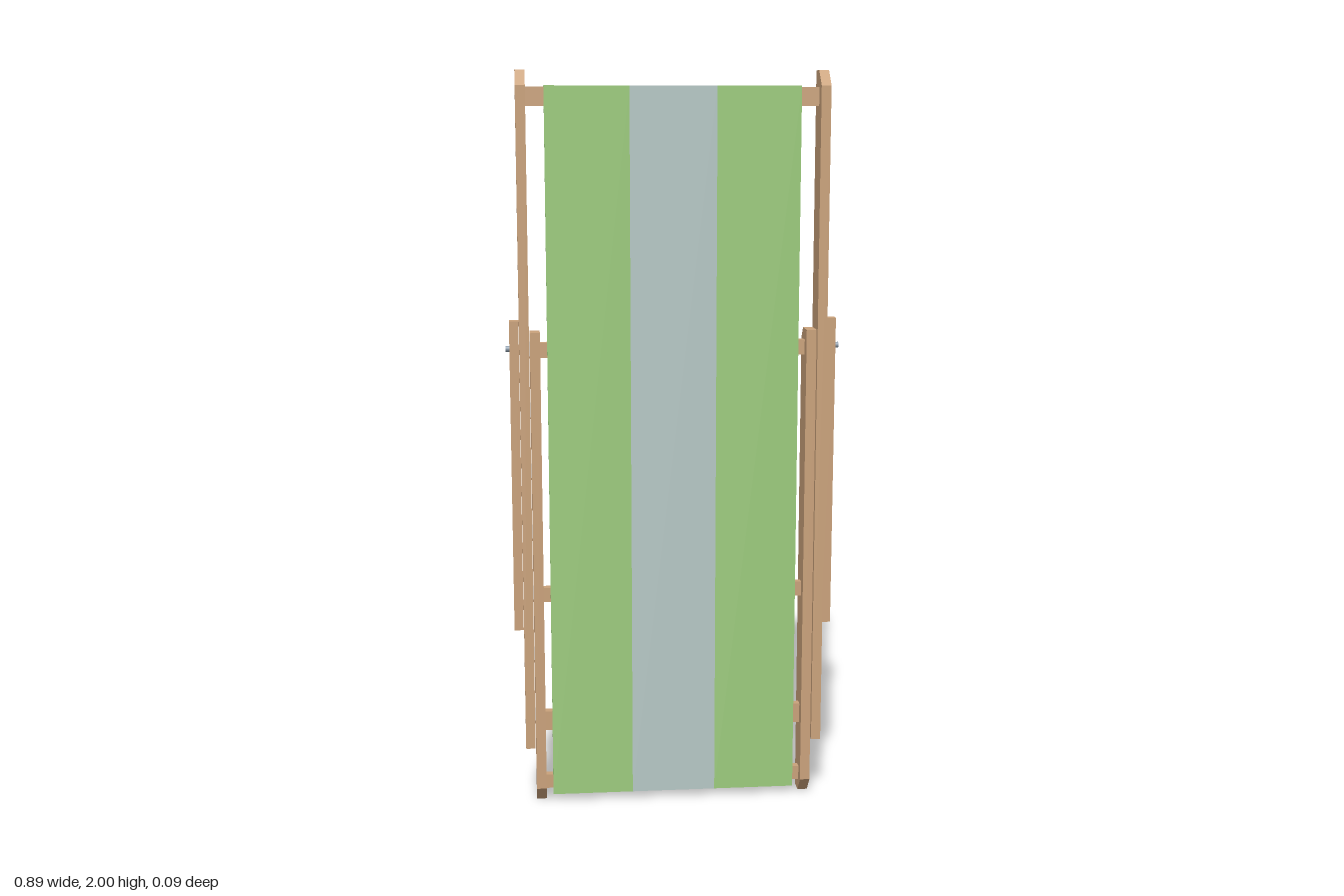
import * as THREE from 'three';

const material = (name, color) => {
  const m = new THREE.MeshStandardMaterial({ color });
  m.name = name;
  return m;
};

// Extrudes a side profile of [z, y] points from x0 to x1
function sideExtrude(points, x0, x1) {
  const shape = new THREE.Shape(points.map(([z, y]) => new THREE.Vector2(z, y)));
  const geo = new THREE.ExtrudeGeometry(shape, { depth: x1 - x0, bevelEnabled: false });
  return geo.rotateY(-Math.PI / 2).translate(x1, 0, 0);
}

export function createModel() {
  const group = new THREE.Group();
  group.name = 'foldedDeckChair';
  const wood = material('wood', 0xcaa27b);
  const green = material('greenCanvas', 0x9ccb7d);
  const grey = material('greyCanvas', 0xb6c7c5);
  const steel = material('steel', 0x8c9cab);

  const add = (name, geo, mat) => {
    const mesh = new THREE.Mesh(geo, mat);
    mesh.name = name;
    group.add(mesh);
    return mesh;
  };

  // Rails with one chamfered corner at each end
  const outerRail = [[-0.04, 0.2], [-0.003, 0.165], [0.043, 0.165], [0.043, 1.96], [0.002, 2], [-0.04, 2]];
  const innerRail = [[-0.044, 0], [0, 0], [0.039, 0.045], [0.039, 1.32], [-0.02, 1.32], [-0.044, 1.29]];
  // Slightly tilted support strip
  const strip = [[-0.012, 0.5], [0.021, 0.5], [0.026, 1.35], [-0.007, 1.35]];

  for (const s of [1, -1]) {
    const side = s > 0 ? 'left' : 'right';
    const rail = (name, profile, a, b) =>
      add(side + name, sideExtrude(profile, Math.min(a * s, b * s), Math.max(a * s, b * s)), wood);
    rail('OuterRail', outerRail, 0.385, 0.411);
    rail('InnerRail', innerRail, 0.356, 0.383);
    rail('SupportStrip', strip, 0.412, 0.437);

    // Pivot pin through the strip
    const pin = new THREE.CylinderGeometry(0.008, 0.008, 0.06, 12).rotateZ(Math.PI / 2);
    add(side + 'PivotPin', pin.translate(s * 0.417, 1.275, 0.009), steel);
  }

  // Crossbars: name, bottom, top, half length
  const bars = [
    ['topBar', 1.907, 1.957, 0.386],
    ['upperBar', 1.25, 1.29, 0.357],
    ['middleBar', 0.575, 0.615, 0.357],
    ['lowerBar', 0.205, 0.26, 0.357],
    ['bottomBar', 0.035, 0.074, 0.357],
  ];
  for (const [name, y0, y1, half] of bars) {
    add(name, new THREE.BoxGeometry(half * 2, y1 - y0, 0.022).translate(0, (y0 + y1) / 2, -0.001), wood);
  }

  // Canvas sheet, folded over the top and bottom bars
  const canvas = [
    [0.021, 0.02], [0.021, 1.96], [-0.013, 1.96], [-0.018, 1.903],
    [0.014, 1.903], [0.014, 0.082], [-0.014, 0.08], [-0.016, 0.02],
  ];
  add('rightCanvasBand', sideExtrude(canvas, -0.337, -0.115), green);
  add('centreCanvasBand', sideExtrude(canvas, -0.115, 0.115), grey);
  add('leftCanvasBand', sideExtrude(canvas, 0.115, 0.337), green);

  return group;
}
